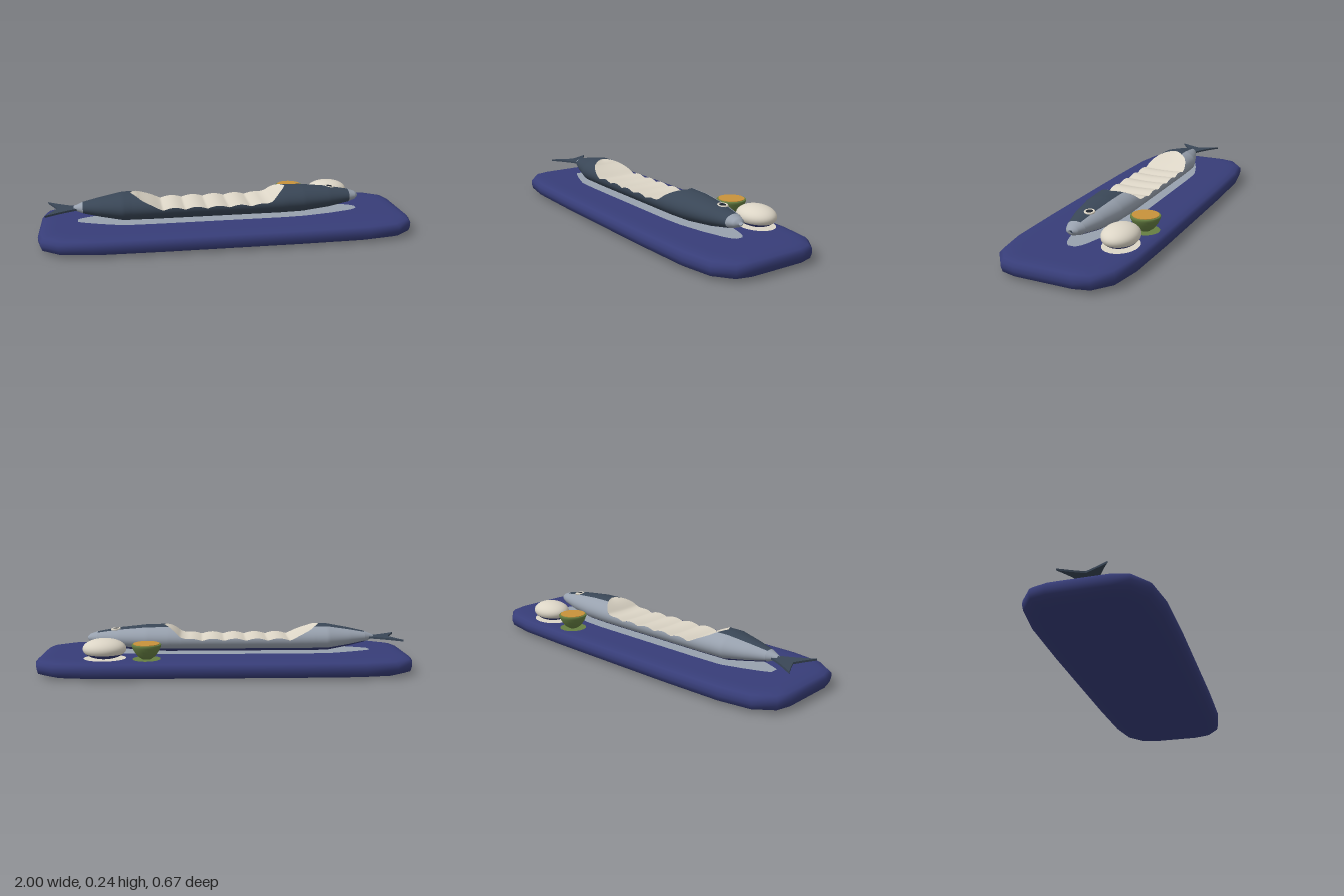
import * as THREE from 'three';
import { mergeVertices } from 'three/addons/utils/BufferGeometryUtils.js';

const mat = (name, color, side = THREE.FrontSide) => {
  const m = new THREE.MeshStandardMaterial({ color, side });
  m.name = name;
  return m;
};

// Surface through a grid of points fn(u, v), with u and v in 0..1
function grid(fn, nu, nv) {
  const pos = [], idx = [];
  for (let i = 0; i <= nu; i++) for (let j = 0; j <= nv; j++) pos.push(...fn(i / nu, j / nv));
  for (let i = 0; i < nu; i++) for (let j = 0; j < nv; j++) {
    const a = i * (nv + 1) + j, b = a + nv + 1;
    idx.push(a, b, a + 1, b, b + 1, a + 1);
  }
  let g = new THREE.BufferGeometry();
  g.setAttribute('position', new THREE.Float32BufferAttribute(pos, 3));
  g.setIndex(idx);
  g = mergeVertices(g, 1e-5);
  g.computeVertexNormals();
  return g;
}

// Fish sections: x, half height, half width
const SECTIONS = [
  [-0.82, 0.010, 0.012], [-0.77, 0.030, 0.040], [-0.68, 0.050, 0.075], [-0.56, 0.072, 0.113],
  [-0.4, 0.073, 0.117], [0.3, 0.073, 0.117], [0.42, 0.071, 0.110], [0.57, 0.056, 0.083],
  [0.69, 0.035, 0.050], [0.73, 0.022, 0.032], [0.745, 0.008, 0.012],
];
const YC = 0.167, ZC = 0.003, RAD = Math.PI / 180;
function section(x) {
  let k = 0;
  while (k < SECTIONS.length - 2 && x > SECTIONS[k + 1][0]) k++;
  const a = SECTIONS[k], b = SECTIONS[k + 1];
  const t = THREE.MathUtils.clamp((x - a[0]) / (b[0] - a[0]), 0, 1);
  return [a[1] + (b[1] - a[1]) * t, a[2] + (b[2] - a[2]) * t];
}
const onFish = (x, a) => {
  const [h, w] = section(x);
  return [x, YC + h * Math.sin(a), ZC + w * Math.cos(a)];
};
// Height of the cut through the back, with scalloped slices
const CUT0 = -0.53, CUT1 = 0.335;
function cutHeight(x) {
  const s = THREE.MathUtils.smoothstep;
  const wall = 1 - s(x, CUT0, -0.35) + s(x, 0.19, CUT1);
  const scallop = 0.012 * Math.abs(Math.sin((x + 0.35) / 0.118 * Math.PI));
  return 0.166 + scallop * (1 - Math.min(1, wall)) + wall * 0.0745;
}
function cutAngle(x) {
  if (x <= CUT0 || x >= CUT1) return Math.PI / 2;
  return Math.asin(THREE.MathUtils.clamp((cutHeight(x) - YC) / section(x)[0], -1, 1));
}

export function createModel() {
  const root = new THREE.Group();
  const navy = mat('plateNavy', 0x373d78, THREE.DoubleSide);
  const slate = mat('skinSlate', 0x394656, THREE.DoubleSide);
  const silver = mat('bellySilver', 0x98a1ae, THREE.DoubleSide);
  const cream = mat('fleshCream', 0xdcd5c6, THREE.DoubleSide);
  const green = mat('rindGreen', 0x667f42);
  const orange = mat('fruitOrange', 0xc8923a);
  const dark = mat('pupilDark', 0x1c222b);
  const add = (name, geo, m, parent = root) => {
    const mesh = new THREE.Mesh(geo, m);
    mesh.name = name;
    parent.add(mesh);
    return mesh;
  };

  // Plate: rounded oblong outline lofted through inset levels
  const quarter = [[1, 0], [1, 0.15], [0.98, 0.23], [0.89, 0.30], [0.72, 0.328], [0.38, 0.335], [0, 0.335]];
  const half = [...quarter, ...quarter.slice(0, -1).reverse().map(([x, z]) => [-x, z])];
  const outline = [...half, ...half.slice(0, -1).reverse().map(([x, z]) => [x, -z])];
  const levels = [[0, 1], [0, 0.09], [0.006, 0.035], [0.02, 0.006], [0.045, 0], [0.068, 0],
    [0.084, 0.014], [0.092, 0.045], [0.094, 0.09], [0.094, 1]];
  const nl = levels.length - 1, no = outline.length - 1;
  add('plate', grid((u, v) => {
    const [y, inset] = levels[Math.round(u * nl)], [x, z] = outline[Math.round(v * no)];
    const k = inset === 1 ? 0 : 1;
    return [x * (1 - inset) * k, y, z * (1 - inset / 0.335) * k];
  }, nl, no), navy);

  // Fish body in angular strips, running from the front side over the top
  const fish = new THREE.Group();
  fish.name = 'fish';
  root.add(fish);
  const X0 = -0.77, X1 = 0.69, SPLIT = 117 * RAD, LOW = 220 * RAD, FRONT = -58 * RAD;
  const strip = (name, from, to, m, x0 = X0, x1 = X1, nu = 146, nv = 16) =>
    add(name, grid((u, v) => {
      const x = x0 + (x1 - x0) * u, a = from(x), b = to(x);
      return onFish(x, a + (b - a) * v);
    }, nu, nv), m, fish);
  strip('backSkin', () => FRONT, cutAngle, slate);
  strip('upperSkin', x => Math.min(Math.PI - cutAngle(x), SPLIT), () => SPLIT, slate);
  strip('belly', x => Math.max(Math.PI - cutAngle(x), SPLIT), () => LOW, silver);
  strip('underside', () => LOW, () => FRONT + 2 * Math.PI, navy);
  strip('tailStem', () => 0, () => 2 * Math.PI, silver, SECTIONS[0][0], X0, 6, 32);
  strip('snout', () => 0, () => 2 * Math.PI, silver, X1, 0.745, 11, 32);

  // Sliced flesh filling the cut
  add('slicedFlesh', grid((u, v) => {
    const x = CUT0 + (CUT1 - CUT0) * u, a = cutAngle(x);
    const p = onFish(x, a), q = onFish(x, Math.PI - a);
    return [x, p[1] - 0.004 * Math.sin(Math.PI * v), p[2] + (q[2] - p[2]) * v];
  }, 140, 12), cream, fish);

  // Flat forked tail
  const tailShape = new THREE.Shape();
  tailShape.moveTo(-0.79, 0.02);
  tailShape.quadraticCurveTo(-0.86, 0.045, -0.96, 0.118);
  tailShape.quadraticCurveTo(-0.925, 0.05, -0.905, 0);
  tailShape.quadraticCurveTo(-0.925, -0.05, -0.96, -0.118);
  tailShape.quadraticCurveTo(-0.86, -0.045, -0.79, -0.02);
  const tailGeo = new THREE.ExtrudeGeometry(tailShape, { depth: 0.01, bevelEnabled: false });
  tailGeo.rotateX(-Math.PI / 2).translate(0, 0.158, 0);
  add('tailFin', tailGeo, slate, fish);

  // Eye on the upper side
  const eye = new THREE.Group();
  eye.name = 'eye';
  eye.position.set(0.59, 0.217, -0.014);
  eye.rotation.z = -0.1;
  fish.add(eye);
  add('eyeRing', new THREE.TorusGeometry(0.022, 0.006, 8, 24).rotateX(Math.PI / 2), cream, eye);
  add('pupil', new THREE.CylinderGeometry(0.017, 0.017, 0.008, 20), dark, eye);

  // Grated mound with a dark underside
  const mound = new THREE.Group();
  mound.name = 'radishMound';
  mound.position.set(0.63, 0.146, -0.2);
  mound.scale.set(0.113, 0.054, 0.09);
  root.add(mound);
  const edge = 118 * RAD;
  add('moundTop', new THREE.SphereGeometry(1, 36, 18, 0, Math.PI * 2, 0, edge), cream, mound);
  add('moundUnderside', new THREE.SphereGeometry(1, 36, 8, 0, Math.PI * 2, edge, Math.PI - edge), navy, mound);

  // Halved citrus, cut face up
  const citrus = new THREE.Group();
  citrus.name = 'citrusHalf';
  citrus.position.set(0.41, 0, -0.225);
  root.add(citrus);
  const rind = [[0, 0.094], [0.025, 0.096], [0.047, 0.112], [0.065, 0.138], [0.075, 0.16], [0.077, 0.17], [0.074, 0.174], [0, 0.174]];
  add('rind', new THREE.LatheGeometry(rind.map(p => new THREE.Vector2(...p)), 32), green, citrus);
  add('cutFace', new THREE.CylinderGeometry(0.068, 0.068, 0.005, 32).translate(0, 0.1745, 0), orange, citrus);

  // Pale patches on the plate beneath each item
  add('fishPatch', grid((u, v) => {
    const x = -0.8 + 1.54 * u;
    return [x, 0.0955, ZC + section(x)[1] * (1 - 2 * v)];
  }, 60, 1), silver);
  const patch = (name, x, z, rx, rz, m) => {
    const p = add(name, new THREE.CircleGeometry(1, 32).rotateX(-Math.PI / 2), m);
    p.position.set(x, 0.0955, z);
    p.scale.set(rx, 1, rz);
  };
  patch('moundPatch', 0.63, -0.2, 0.11, 0.088, cream);
  patch('citrusPatch', 0.41, -0.225, 0.073, 0.073, green);

  return root;
}
